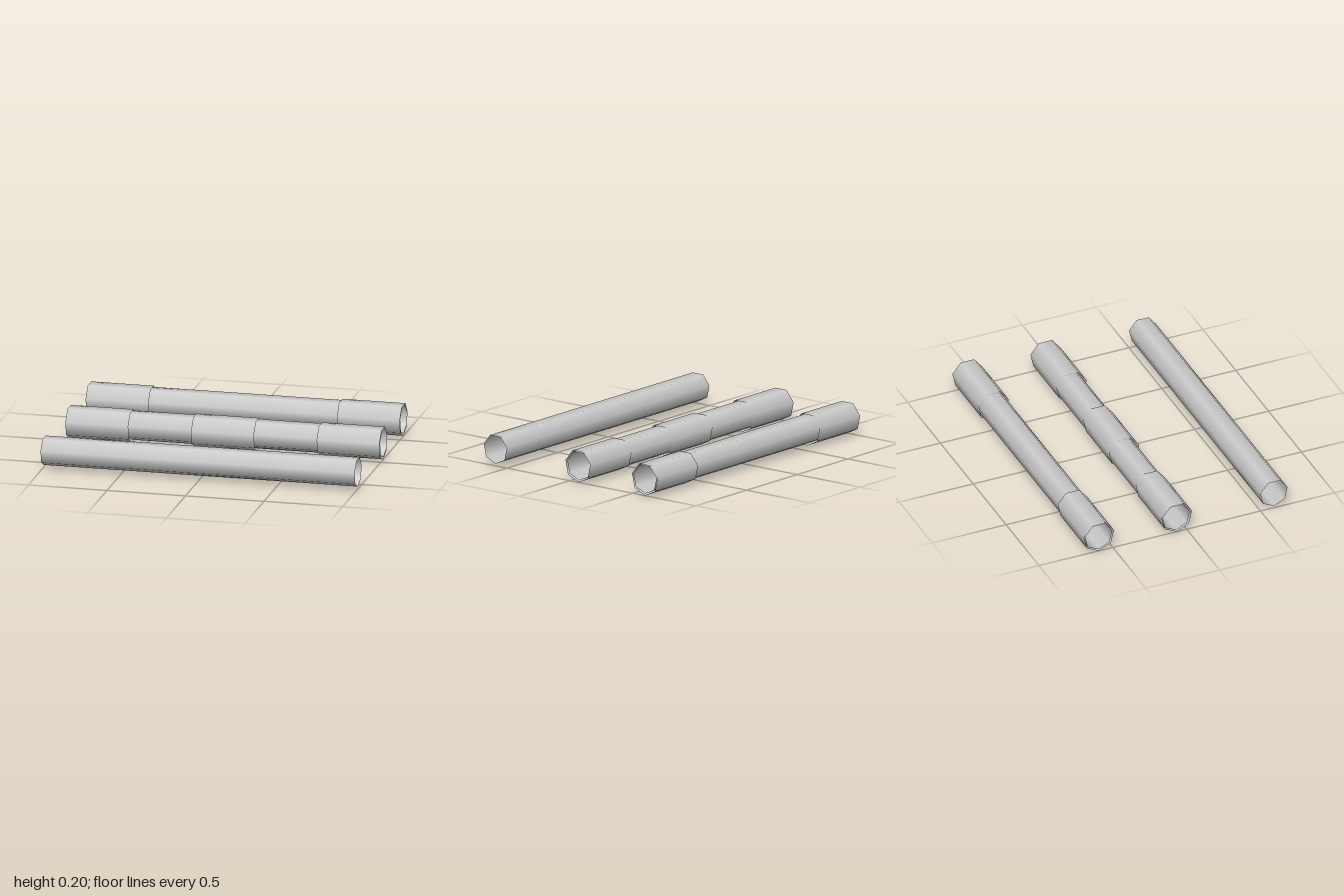
import * as THREE from 'three';

const SIDES = 7;
const material = new THREE.MeshStandardMaterial({ color: 0xcccccc, side: THREE.DoubleSide });

// Open thin-walled tube along x, with one corner pointing straight down
function tube(name, radius, length, x, y, z) {
  const geometry = new THREE.CylinderGeometry(radius, radius, length, SIDES, 1, true, -Math.PI / 2);
  geometry.rotateZ(Math.PI / 2);
  const mesh = new THREE.Mesh(geometry, material);
  mesh.name = name;
  mesh.position.set(x, y, z);
  return mesh;
}

// A full-length pipe with wider sleeves at the given x positions
function pipe(name, z, sleeveZ, sleeveXs) {
  const group = new THREE.Group();
  group.name = name;
  group.add(tube('pipeBody', 0.0935, 2, 0, 0.1065, z));
  for (const x of sleeveXs) {
    group.add(tube('sleeve', 0.104, 0.4, x, 0.104, sleeveZ));
  }
  return group;
}

export function createModel() {
  const model = new THREE.Group();
  model.name = 'pipeSet';
  model.add(
    pipe('plainPipe', 0.592, 0.592, []),
    pipe('threeSleevePipe', -0.071, -0.066, [-0.8, 0, 0.8]),
    pipe('twoSleevePipe', -0.596, -0.594, [-0.8, 0.8])
  );
  return model;
}
